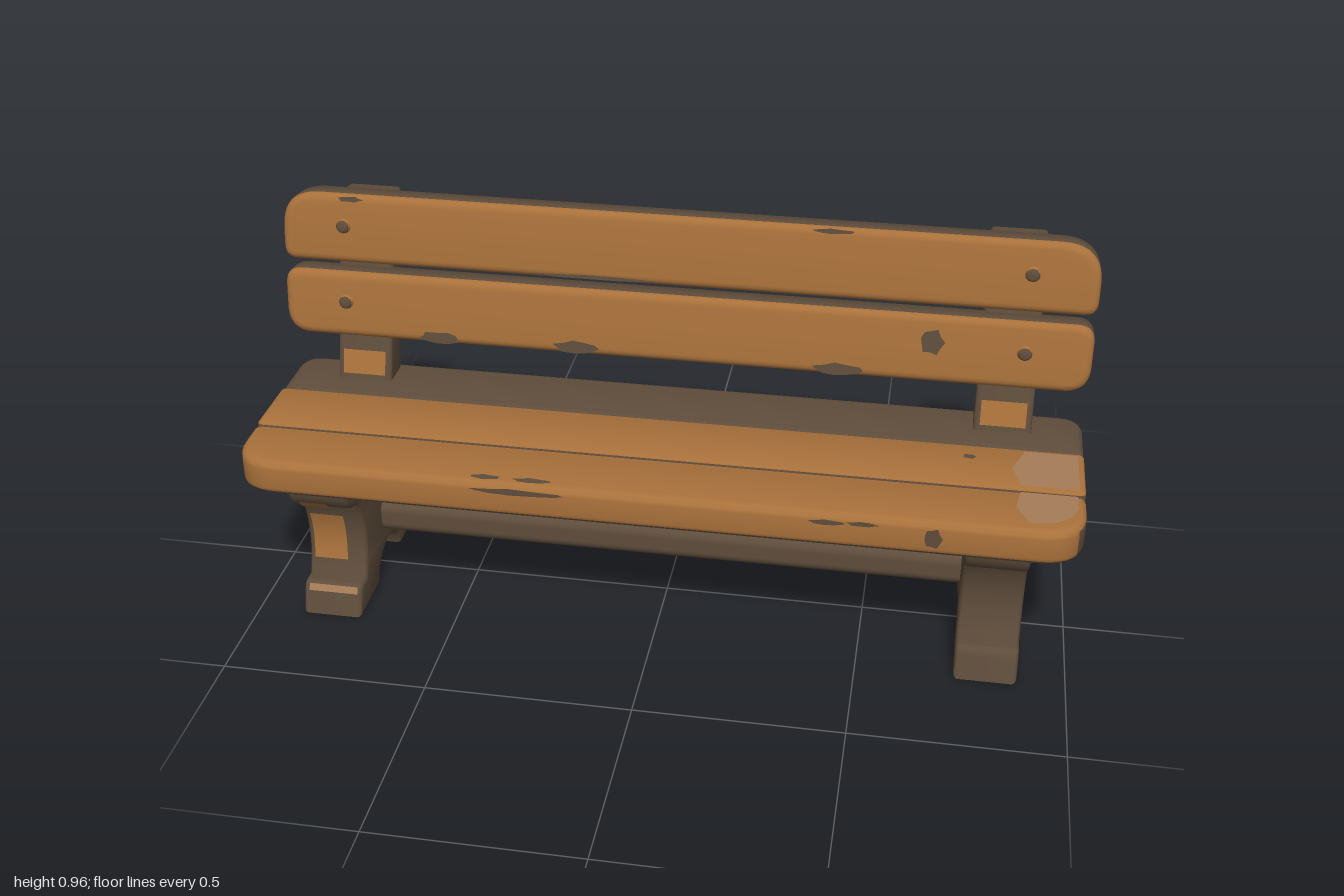
import * as THREE from 'three';
import { toCreasedNormals } from 'three/addons/utils/BufferGeometryUtils.js';
import { RoundedBoxGeometry } from 'three/addons/geometries/RoundedBoxGeometry.js';

const mat = (name, color) => new THREE.MeshStandardMaterial({ name, color, side: THREE.DoubleSide });

export function createModel() {
  const bench = new THREE.Group();
  bench.name = 'bench';
  const wood = mat('bareWood', 0x5e4c3b);
  const paint = mat('orangePaint', 0xa9713b);
  const worn = mat('wornPaint', 0xa67c58);

  const add = (parent, name, geo, material, x = 0, y = 0, z = 0) => {
    const m = new THREE.Mesh(geo, material);
    m.name = name;
    m.position.set(x, y, z);
    parent.add(m);
    return m;
  };

  // Extrusion centred on its depth, with rounded edges kept inside the outline
  const roundedExtrude = (shape, depth, b) => {
    const g = new THREE.ExtrudeGeometry(shape, {
      depth: depth - 2 * b, bevelThickness: b, bevelSize: b, bevelOffset: -b,
      bevelSegments: 4, curveSegments: 10,
    });
    g.translate(0, 0, b - depth / 2);
    return toCreasedNormals(g, 0.7);
  };

  // Board outline with separate corner radii for its top and bottom edges
  const board = (w, h, d, rt, rb, b) => {
    const x = w / 2, y = h / 2, s = new THREE.Shape();
    s.moveTo(-x + rb, -y);
    s.lineTo(x - rb, -y);
    s.quadraticCurveTo(x, -y, x, -y + rb);
    s.lineTo(x, y - rt);
    s.quadraticCurveTo(x, y, x - rt, y);
    s.lineTo(-x + rt, y);
    s.quadraticCurveTo(-x, y, -x, y - rt);
    s.lineTo(-x, -y + rb);
    s.quadraticCurveTo(-x, -y, -x + rb, -y);
    return roundedExtrude(s, d, b);
  };

  // Sort triangles into bare wood (group 0) and paint (group 1) by face normal
  const paintFaces = (geo, test) => {
    const p = geo.attributes.position, n = geo.attributes.normal;
    const tris = [[], []];
    const a = new THREE.Vector3(), b = new THREE.Vector3(), c = new THREE.Vector3();
    for (let i = 0; i < p.count; i += 3) {
      a.fromBufferAttribute(p, i);
      b.fromBufferAttribute(p, i + 1).sub(a);
      c.fromBufferAttribute(p, i + 2).sub(a);
      tris[test(b.cross(c).normalize()) ? 1 : 0].push(i, i + 1, i + 2);
    }
    const order = [...tris[0], ...tris[1]];
    const pick = (at) => new THREE.Float32BufferAttribute(
      order.flatMap((i) => [at.getX(i), at.getY(i), at.getZ(i)]), 3);
    const out = new THREE.BufferGeometry();
    out.setAttribute('position', pick(p));
    out.setAttribute('normal', pick(n));
    out.addGroup(0, tris[0].length, 0);
    out.addGroup(tris[0].length, tris[1].length, 1);
    return out;
  };

  // Thin strip of paint following a side profile of [z, y] points
  const ribbon = (x0, x1, pts) => {
    const pos = [], idx = [];
    pts.forEach(([z, y], i) => {
      pos.push(x0, y, z, x1, y, z);
      if (i) idx.push(2 * i - 2, 2 * i - 1, 2 * i + 1, 2 * i - 2, 2 * i + 1, 2 * i);
    });
    const g = new THREE.BufferGeometry();
    g.setAttribute('position', new THREE.Float32BufferAttribute(pos, 3));
    g.setIndex(idx);
    g.computeVertexNormals();
    return g;
  };

  // Uneven flat chip where paint has flaked off
  const chip = (parent, x, y, z, w, h, flat = false) => {
    const g = new THREE.CircleGeometry(0.5, 11);
    const p = g.attributes.position;
    for (let i = 1; i < p.count; i++) {
      const k = 1 + 0.15 * Math.sin((i % 11) * 2.7 + x * 9);
      p.setXY(i, p.getX(i) * k, p.getY(i) * k);
    }
    g.scale(w, h, 1);
    if (flat) g.rotateX(-Math.PI / 2);
    add(parent, 'paintChip', g, wood, x, y, z);
  };

  // End supports: waisted leg with arched foot
  const leg = new THREE.Shape();
  leg.moveTo(0.255, 0);
  leg.lineTo(0.238, 0.06);
  leg.quadraticCurveTo(0.232, 0.08, 0.215, 0.08);
  leg.lineTo(0.19, 0.08);
  leg.quadraticCurveTo(0.141, 0.19, 0.2, 0.3);
  leg.bezierCurveTo(0.25, 0.312, 0.277, 0.335, 0.278, 0.4);
  leg.lineTo(-0.202, 0.4);
  leg.bezierCurveTo(-0.202, 0.335, -0.19, 0.325, -0.165, 0.305);
  leg.quadraticCurveTo(-0.132, 0.24, -0.157, 0.16);
  leg.lineTo(-0.18, 0.08);
  leg.lineTo(-0.205, 0.08);
  leg.quadraticCurveTo(-0.224, 0.08, -0.228, 0.06);
  leg.lineTo(-0.243, 0);
  leg.lineTo(-0.09, 0);
  leg.bezierCurveTo(-0.075, 0.1, 0.085, 0.1, 0.098, 0);
  leg.closePath();
  const legGeo = roundedExtrude(leg, 0.15, 0.012).rotateY(-Math.PI / 2);

  // Leaning back posts
  const post = new THREE.Shape([
    [-0.11, 0.45], [-0.205, 0.45], [-0.322, 0.925], [-0.25, 0.932], [-0.143, 0.565],
  ].map(([z, y]) => new THREE.Vector2(z, y)));
  const postGeo = roundedExtrude(post, 0.14, 0.012).rotateY(-Math.PI / 2);

  for (const s of [-1, 1]) {
    const side = s > 0 ? 'left' : 'right';
    add(bench, side + 'Leg', legGeo, wood, s * 0.81);
    add(bench, side + 'BackPost', postGeo, wood, s * 0.805);
    add(bench, side + 'PostPaint', ribbon(s * 0.805 - 0.055, s * 0.805 + 0.055,
      [[-0.118, 0.49], [-0.135, 0.55]]), paint);
  }

  // Paint left on the right leg
  const waist = [];
  for (let i = 0; i <= 8; i++) {
    const t = 0.18 + i * 0.075;
    waist.push([0.19 * (1 - t) ** 2 + 0.282 * t * (1 - t) + 0.2 * t * t + 0.003, 0.08 + 0.22 * t]);
  }
  add(bench, 'legWaistPaint', ribbon(-0.87, -0.785, waist), paint);
  add(bench, 'legShoulderPaint', ribbon(-0.86, -0.79, [[0.25, 0.317], [0.272, 0.342]]), paint);
  add(bench, 'footPaint', ribbon(-0.87, -0.745, [[0.241, 0.06], [0.234, 0.077]]), worn);

  // Stretcher between the legs
  add(bench, 'stretcher', new RoundedBoxGeometry(1.52, 0.09, 0.09, 4, 0.03), wood, 0, 0.165, 0);

  // Seat boards: name, centre z, width, rear radius, front radius, edge, painted faces
  const seat = [
    ['frontSeatBoard', 0.231, 0.178, 0.022, 0.11, 0.02, (n) => n.y > 0.3 || (n.z > 0.5 && n.y > -0.4)],
    ['middleSeatBoard', 0.047, 0.184, 0.015, 0.015, 0.01, (n) => n.y > 0.3],
    ['rearSeatBoard', -0.136, 0.178, 0.06, 0.022, 0.02, () => false],
  ];
  for (const [name, z, w, rr, rf, b, test] of seat) {
    const g = board(2, w, 0.09, rr, rf, b).rotateX(-Math.PI / 2);
    add(bench, name, paintFaces(g, test), [wood, paint], 0, 0.43, z);
  }

  // Faded paint at the left end of the seat
  const fade = (pts) => new THREE.ShapeGeometry(
    new THREE.Shape(pts.map(([x, z]) => new THREE.Vector2(x, -z)))).rotateX(-Math.PI / 2);
  add(bench, 'fadedFrontEnd', fade([[0.85, 0.155], [0.84, 0.22], [0.87, 0.285], [0.93, 0.275],
    [0.965, 0.245], [0.98, 0.21], [0.98, 0.155]]), worn, 0, 0.4765, 0);
  add(bench, 'fadedMiddleEnd', fade([[0.86, -0.03], [0.83, 0.05], [0.85, 0.125],
    [0.985, 0.125], [0.985, -0.03]]), worn, 0, 0.4765, 0);

  // Chips on the seat: front edge, then top
  for (const [x, y, w, h] of [[-0.3, 0.456, 0.22, 0.016], [0.42, 0.453, 0.08, 0.014],
    [0.5, 0.456, 0.07, 0.012], [0.66, 0.435, 0.04, 0.05]]) chip(bench, x, y, 0.322, w, h);
  for (const [x, z, w, h] of [[-0.38, 0.297, 0.07, 0.02], [-0.27, 0.297, 0.09, 0.02],
    [0.73, 0.015, 0.03, 0.02]]) chip(bench, x, 0.4775, z, w, h, true);

  // Back boards with bolts: name, y, z, height, top radius, bottom radius, chips
  const backs = [
    ['lowerBackBoard', 0.673, -0.173, 0.172, 0.045, 0.065, [[0.62, 0.018, 0.055, 0.062],
      [-0.6, -0.07, 0.1, 0.03], [-0.25, -0.067, 0.11, 0.032], [0.4, -0.07, 0.12, 0.03]]],
    ['upperBackBoard', 0.866, -0.203, 0.178, 0.1, 0.035, [[-0.82, 0.076, 0.06, 0.014],
      [0.37, 0.078, 0.1, 0.012], [-0.2, -0.079, 0.3, 0.01]]],
  ];
  for (const [name, y, z, h, rt, rb, chips] of backs) {
    const group = new THREE.Group();
    group.name = name;
    group.position.set(0, y, z);
    group.rotation.x = -0.14;
    bench.add(group);
    const g = paintFaces(board(2, h, 0.082, rt, rb, 0.02), (n) => n.z > 0.5);
    add(group, name + 'Plank', g, [wood, paint]);
    for (const c of chips) chip(group, c[0], c[1], 0.0425, c[2], c[3]);
    for (const s of [-1, 1]) {
      const rim = new THREE.CylinderGeometry(0.014, 0.02, 0.012, 12).rotateX(Math.PI / 2);
      add(group, 'boltRim', rim, paint, s * 0.84, 0.007, 0.045);
      const cap = new THREE.SphereGeometry(0.016, 12, 6).scale(1, 1, 0.3);
      add(group, 'boltCap', cap, wood, s * 0.84, 0.007, 0.05);
    }
  }
  return bench;
}
